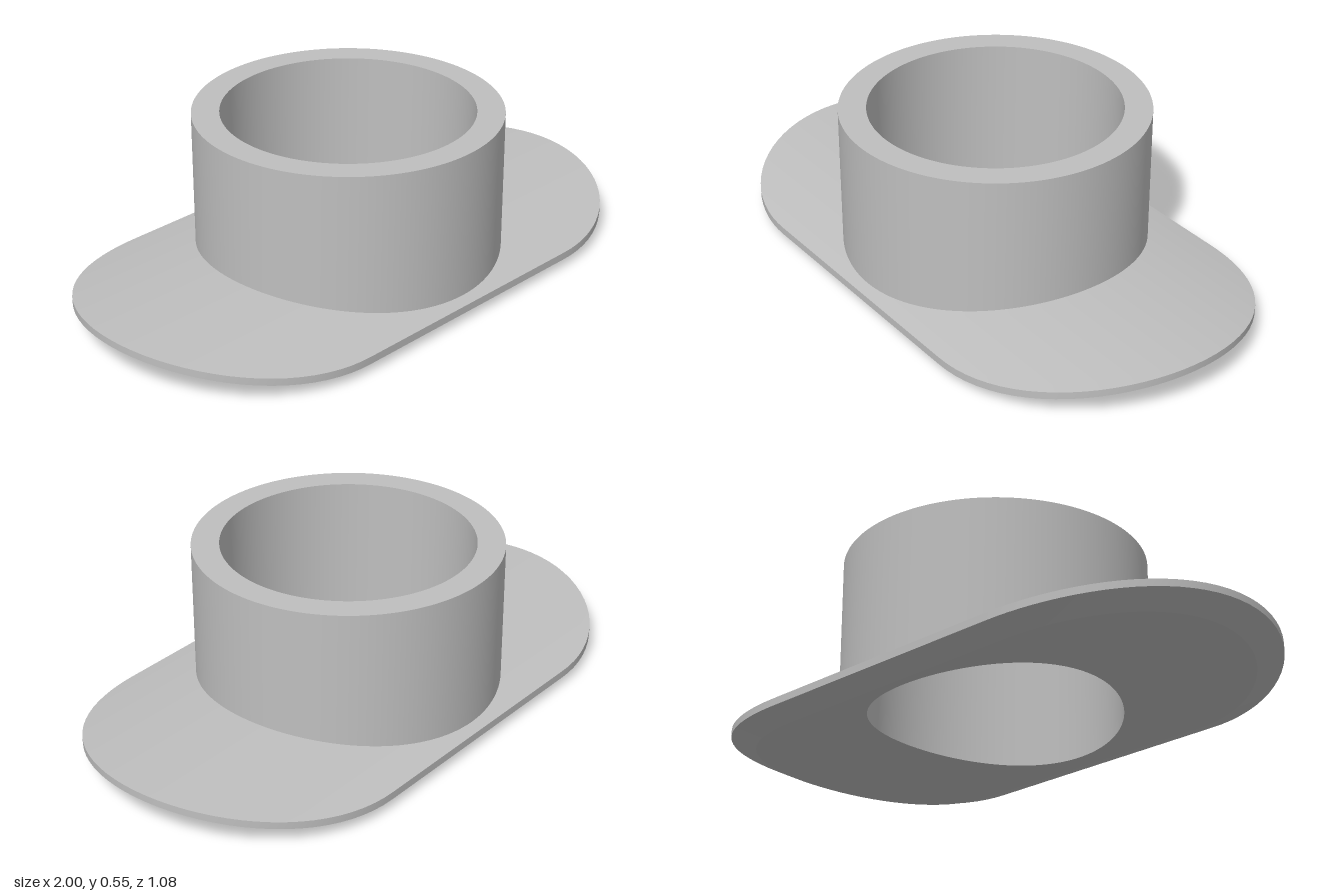
import * as THREE from 'three';

const SEG = 144;
const sag = (z, R) => R - Math.sqrt(R * R - z * z);

// Cross-section outlines: distance from the centre along direction (c, s)
const circle = (r) => () => r;
const stadium = (a, r) => (c, s) => {
  const t = r / Math.max(Math.abs(s), 1e-9);
  if (t * Math.abs(c) <= a) return t;
  return a * Math.abs(c) + Math.sqrt(r * r - a * a * s * s);
};

// Saddle-curved or flat heights
const flat = (y) => () => y;
const curved = (y, R) => (z) => y - sag(z, R);

// Smooth closed band between two rings; each ring is [outline, height]
function band([outA, yA], [outB, yB], steps = 1) {
  const pos = [], index = [];
  for (let j = 0; j <= steps; j++) {
    const k = j / steps;
    for (let i = 0; i < SEG; i++) {
      const t = (i / SEG) * Math.PI * 2, c = Math.cos(t), s = Math.sin(t);
      const a = outA(c, s), b = outB(c, s), d = a + (b - a) * k;
      // sheets follow one height rule, walls blend between two
      const y = yA === yB ? yA(s * d) : yA(s * a) * (1 - k) + yB(s * b) * k;
      pos.push(c * d, y, s * d);
      if (j < steps) {
        const p = j * SEG + i, pn = j * SEG + ((i + 1) % SEG);
        index.push(p, p + SEG, pn, pn, p + SEG, pn + SEG);
      }
    }
  }
  const g = new THREE.BufferGeometry();
  g.setAttribute('position', new THREE.Float32BufferAttribute(pos, 3));
  g.setIndex(index);
  g.computeVertexNormals();
  return g;
}

export function createModel() {
  const grey = new THREE.MeshStandardMaterial({ color: 0xbfbfbf });
  grey.name = 'plain grey';

  const bore = circle(0.41), wall = circle(0.5);
  const edge = stadium(0.46, 0.54), inset = stadium(0.455, 0.46);
  const under = curved(0.05, 2.14), over = curved(0.118, 2.35);
  const edgeLow = curved(0.095, 2.28), top = flat(0.55);

  const model = new THREE.Group();
  model.name = 'saddleFlange';
  const plate = new THREE.Group();
  plate.name = 'curvedPlate';
  const collar = new THREE.Group();
  collar.name = 'collar';
  model.add(plate, collar);

  const add = (group, name, geometry) => {
    const mesh = new THREE.Mesh(geometry, grey);
    mesh.name = name;
    group.add(mesh);
  };

  // Curved oblong plate with a bevelled lower edge
  add(plate, 'plateUnderside', band([bore, under], [inset, under], 12));
  add(plate, 'plateBevel', band([inset, under], [edge, edgeLow]));
  add(plate, 'plateEdge', band([edge, edgeLow], [edge, over]));
  add(plate, 'plateTop', band([edge, over], [wall, over], 12));

  // Open round collar running through the plate
  add(collar, 'collarOuterWall', band([wall, over], [wall, top]));
  add(collar, 'collarRim', band([wall, top], [bore, top]));
  add(collar, 'collarBore', band([bore, top], [bore, under]));

  return model;
}
